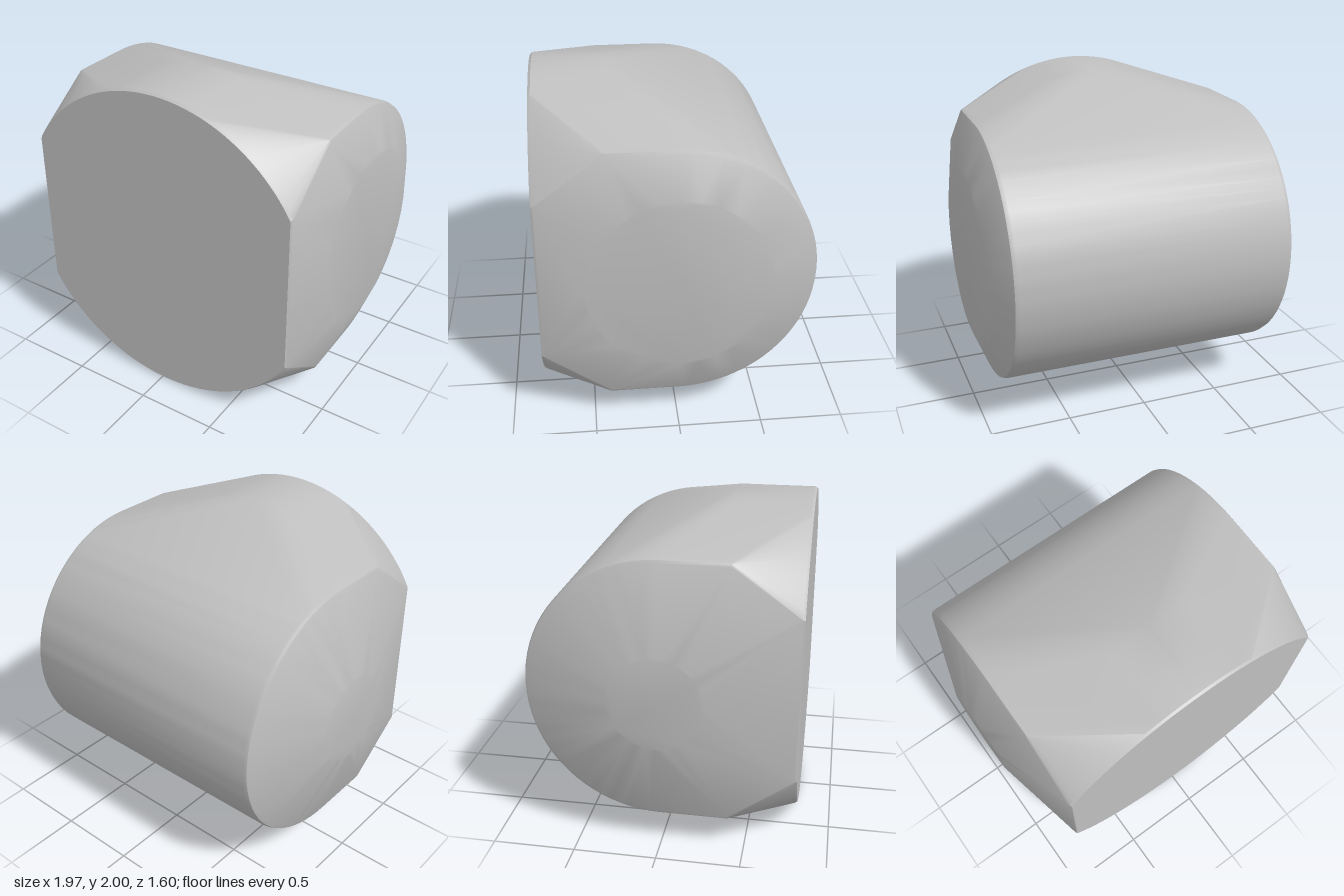
import * as THREE from 'three';
import { ConvexGeometry } from 'three/addons/geometries/ConvexGeometry.js';
import { toCreasedNormals } from 'three/addons/utils/BufferGeometryUtils.js';

const CX = 0.03; // middle of the front disc and the barrel
const CY = 1;
const HALF = 0.865; // half length of the barrel

export function createModel() {
  const model = new THREE.Group();
  const grey = new THREE.MeshStandardMaterial({ color: 0xbfbfbf });
  grey.name = 'plain grey';

  const points = [];
  const add = (x, y, z) => points.push(new THREE.Vector3(x, y, z));

  // Front disc, trimmed flat at both sides, with a slightly eased front rim
  const disc = (radius, z, half) => {
    const limit = Math.acos(half / radius);
    const steps = 40;
    for (let i = 0; i <= steps; i++) {
      const a = limit + (Math.PI - 2 * limit) * (i / steps);
      for (const s of [-1, 1]) add(CX + radius * Math.cos(a), CY + s * radius * Math.sin(a), z);
    }
  };
  disc(1, 0.33, HALF - 0.01);
  disc(1, 0.785, HALF);
  disc(0.99, 0.8, HALF - 0.008);

  // Barrel lying along x: half round at the back, straight towards the front
  const barrelRing = (x, radius) => {
    const steps = 40;
    for (let i = 0; i <= steps; i++) {
      const a = Math.PI * (i / steps);
      add(x, CY + radius * Math.cos(a), -radius * Math.sin(a));
    }
    for (const s of [-1, 1]) add(x, CY + s * radius, 0.4);
  };
  for (const s of [-1, 1]) {
    barrelRing(CX + s * (HALF - 0.03), 0.8);
    barrelRing(CX + s * (HALF - 0.008), 0.792);
    barrelRing(CX + s * HALF, 0.775);
  }

  // Raised round pads on the two ends: small on one side, wide on the other
  for (const [x, radius] of [[-0.985, 0.28], [0.985, 0.54]]) {
    for (let i = 0; i < 32; i++) {
      const a = (i / 32) * Math.PI * 2;
      add(x, CY + radius * Math.cos(a), radius * Math.sin(a));
    }
  }

  // One skin stretched tightly over all the sections
  const body = new THREE.Mesh(toCreasedNormals(new ConvexGeometry(points), 0.45), grey);
  body.name = 'body';
  model.add(body);
  return model;
}
